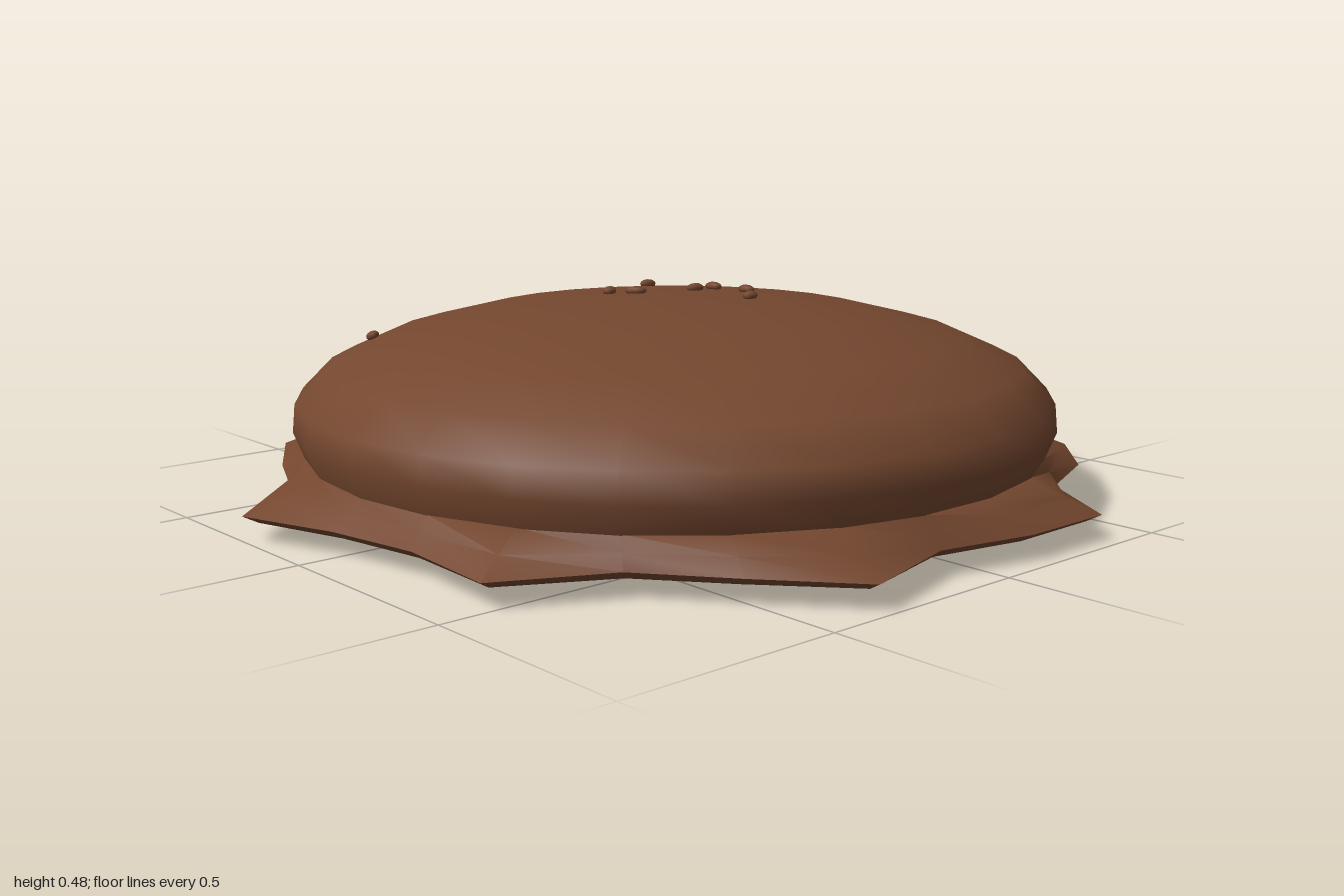
import * as THREE from 'three';
import { toCreasedNormals } from 'three/addons/utils/BufferGeometryUtils.js';

const SIDES = 26;
const CENTRE_Z = 0.015;

// Half-height of the domed profile, bottom to top: [radius, y]
const DOME = [
  [0.86, 0.115], [0.886, 0.18], [0.88, 0.245], [0.808, 0.318],
  [0.66, 0.383], [0.46, 0.432], [0.235, 0.459], [0, 0.465],
];

// Wavy rim of the skirt, [x, z], clockwise seen from above
const RIM = [
  [0.13, -0.99], [0.31, -0.82], [0.57, -0.8], [0.75, -0.65], [0.78, -0.42], [0.97, -0.22],
  [1, 0.02], [0.87, 0.23], [0.9, 0.49], [0.73, 0.65], [0.51, 0.74], [0.37, 0.96],
  [0.13, 0.96], [-0.1, 0.91], [-0.36, 0.98], [-0.52, 0.79], [-0.66, 0.61], [-0.9, 0.49],
  [-0.88, 0.23], [-0.92, 0], [-1, -0.235], [-0.79, -0.41], [-0.7, -0.61], [-0.57, -0.83],
  [-0.29, -0.82], [-0.1, -0.935],
];

// Seeds: [x, z, turn]
const SEEDS = [
  [-0.51, -0.49, 1.1], [-0.07, -0.14, 0.6], [-0.03, -0.09, -0.8], [0.12, -0.22, 0.3],
  [0.12, -0.045, 0.1], [0.18, -0.045, 1.5], [0.2, 0.05, 1.4], [0.12, 0.145, 0.4],
];

// Skirt made of rings that blend from a circle (wave 0) to the rim (wave 1)
function skirtGeometry() {
  const rings = [
    // circle radius, wave, y
    [0.35, 0, 0], [0.68, 0, 0.003], [0.68, 0.9, 0.037], [0.86, 1, 0.055],
    [0.86, 0.5, 0.087], [0.86, 0, 0.12], [0.6, 0, 0.13],
  ];
  const pos = [0, 0, 0];
  const index = [];
  rings.forEach(([radius, wave, y]) => {
    RIM.forEach(([x, z], i) => {
      const a = ((i + 0.5) / SIDES) * Math.PI * 2;
      pos.push(
        THREE.MathUtils.lerp(Math.sin(a) * radius, x, wave), y,
        THREE.MathUtils.lerp(CENTRE_Z - Math.cos(a) * radius, z, wave),
      );
    });
  });
  for (let i = 0; i < SIDES; i++) {
    const j = (i + 1) % SIDES;
    index.push(0, 1 + i, 1 + j);
    for (let r = 0; r < rings.length - 1; r++) {
      const a = 1 + r * SIDES, b = a + SIDES;
      index.push(a + i, b + i, b + j, a + i, b + j, a + j);
    }
  }
  const geo = new THREE.BufferGeometry();
  geo.setAttribute('position', new THREE.Float32BufferAttribute(pos, 3));
  geo.setIndex(index);
  return toCreasedNormals(geo, 0.75);
}

// Height and slope of the dome at a given radius
function domeAt(r) {
  for (let i = DOME.length - 1; i > 1; i--) {
    const [r1, y1] = DOME[i], [r0, y0] = DOME[i - 1];
    if (r <= r0) {
      const slope = (y0 - y1) / (r0 - r1);
      return { y: y1 + slope * (r - r1), slope };
    }
  }
  return { y: 0.3, slope: -1 };
}

export function createModel() {
  const model = new THREE.Group();
  model.name = 'bun';
  const brown = new THREE.MeshStandardMaterial({ color: 0x74472f });
  brown.name = 'baked brown';

  // Smooth domed top, with a vertex on the x axis
  const dome = new THREE.Mesh(
    new THREE.LatheGeometry(DOME.map(([r, y]) => new THREE.Vector2(r, y)), SIDES, Math.PI / 2),
    brown,
  );
  dome.name = 'dome';
  dome.position.z = CENTRE_Z;
  model.add(dome);

  // Ragged skirt and underside
  const skirt = new THREE.Mesh(skirtGeometry(), brown);
  skirt.name = 'skirt';
  model.add(skirt);

  // Seeds lying on the dome
  const seeds = new THREE.Group();
  seeds.name = 'seeds';
  const seedGeo = new THREE.SphereGeometry(1, 8, 6).scale(0.026, 0.011, 0.016);
  const up = new THREE.Vector3(0, 1, 0);
  SEEDS.forEach(([x, z, turn]) => {
    const r = Math.hypot(x, z - CENTRE_Z);
    const { y, slope } = domeAt(r);
    const normal = new THREE.Vector3((-slope * x) / r, 1, (-slope * (z - CENTRE_Z)) / r).normalize();
    const seed = new THREE.Mesh(seedGeo, brown);
    seed.name = 'seed';
    seed.position.set(x, y, z).addScaledVector(normal, 0.006);
    seed.quaternion.setFromUnitVectors(up, normal)
      .multiply(new THREE.Quaternion().setFromAxisAngle(up, turn));
    seeds.add(seed);
  });
  model.add(seeds);
  return model;
}
